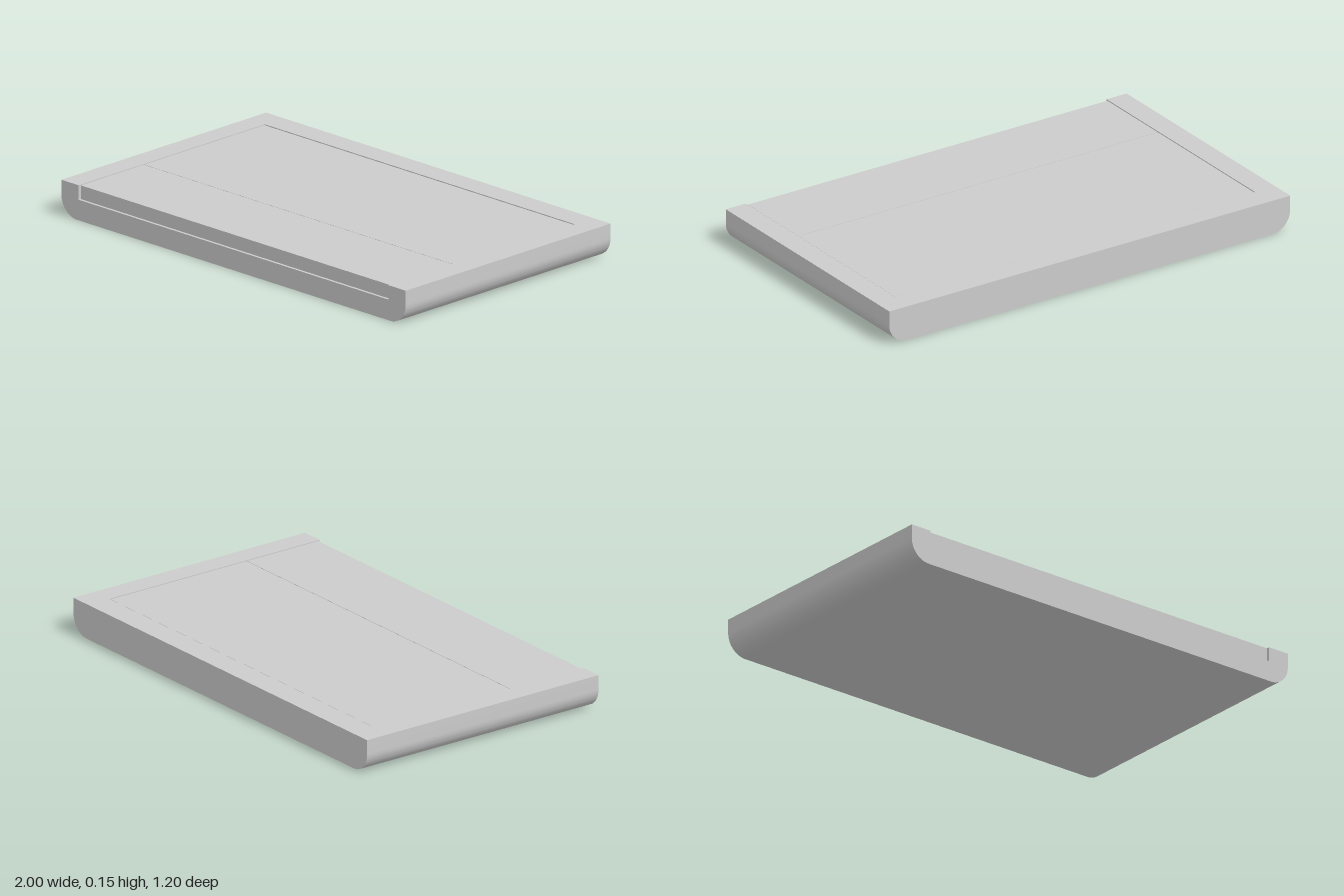
import * as THREE from 'three';
import { toCreasedNormals } from 'three/addons/utils/BufferGeometryUtils.js';

const HEIGHT = 0.153, RADIUS = 0.09;      // tray height and lower edge rounding
const FRONT = 0.6, BACK = -0.6, WALL = -0.49;
const RECESS = 0.9, FLOOR = 0.09;         // recess half width and floor height

export function createModel() {
  const group = new THREE.Group();
  const material = new THREE.MeshStandardMaterial({ color: 0xcccccc });

  const add = (name, geometry, x = 0, y = 0, z = 0) => {
    const mesh = new THREE.Mesh(geometry, material);
    mesh.name = name;
    mesh.position.set(x, y, z);
    group.add(mesh);
  };

  // Cross-section with rounded lower edges, optionally notched for the recess
  const section = (notched) => {
    const s = new THREE.Shape();
    s.moveTo(-1, HEIGHT);
    s.lineTo(-1, RADIUS);
    s.absarc(-1 + RADIUS, RADIUS, RADIUS, Math.PI, Math.PI * 1.5, false);
    s.lineTo(1 - RADIUS, 0);
    s.absarc(1 - RADIUS, RADIUS, RADIUS, Math.PI * 1.5, Math.PI * 2, false);
    s.lineTo(1, HEIGHT);
    if (notched) {
      s.lineTo(RECESS, HEIGHT);
      s.lineTo(RECESS, FLOOR);
      s.lineTo(-RECESS, FLOOR);
      s.lineTo(-RECESS, HEIGHT);
    }
    s.closePath();
    return s;
  };

  const extrude = (shape, depth) => toCreasedNormals(
    new THREE.ExtrudeGeometry(shape, { depth, bevelEnabled: false, curveSegments: 16 }), 0.6);

  // Tray: notched length open at the front, closed by a solid back rim
  add('tray', extrude(section(true), FRONT - WALL), 0, 0, WALL);
  add('backRim', extrude(section(false), WALL - BACK), 0, 0, BACK);

  // Two cover panels lying in the recess, meeting at a seam
  const panel = (name, z0, z1) => {
    const h = 0.06;
    add(name, new THREE.BoxGeometry(2 * RECESS - 0.006, h, z1 - z0), 0, FLOOR + h / 2 + 0.001, (z0 + z1) / 2);
  };
  panel('rearPanel', WALL + 0.004, 0.219);
  panel('frontPanel', 0.221, 0.59);

  return group;
}
